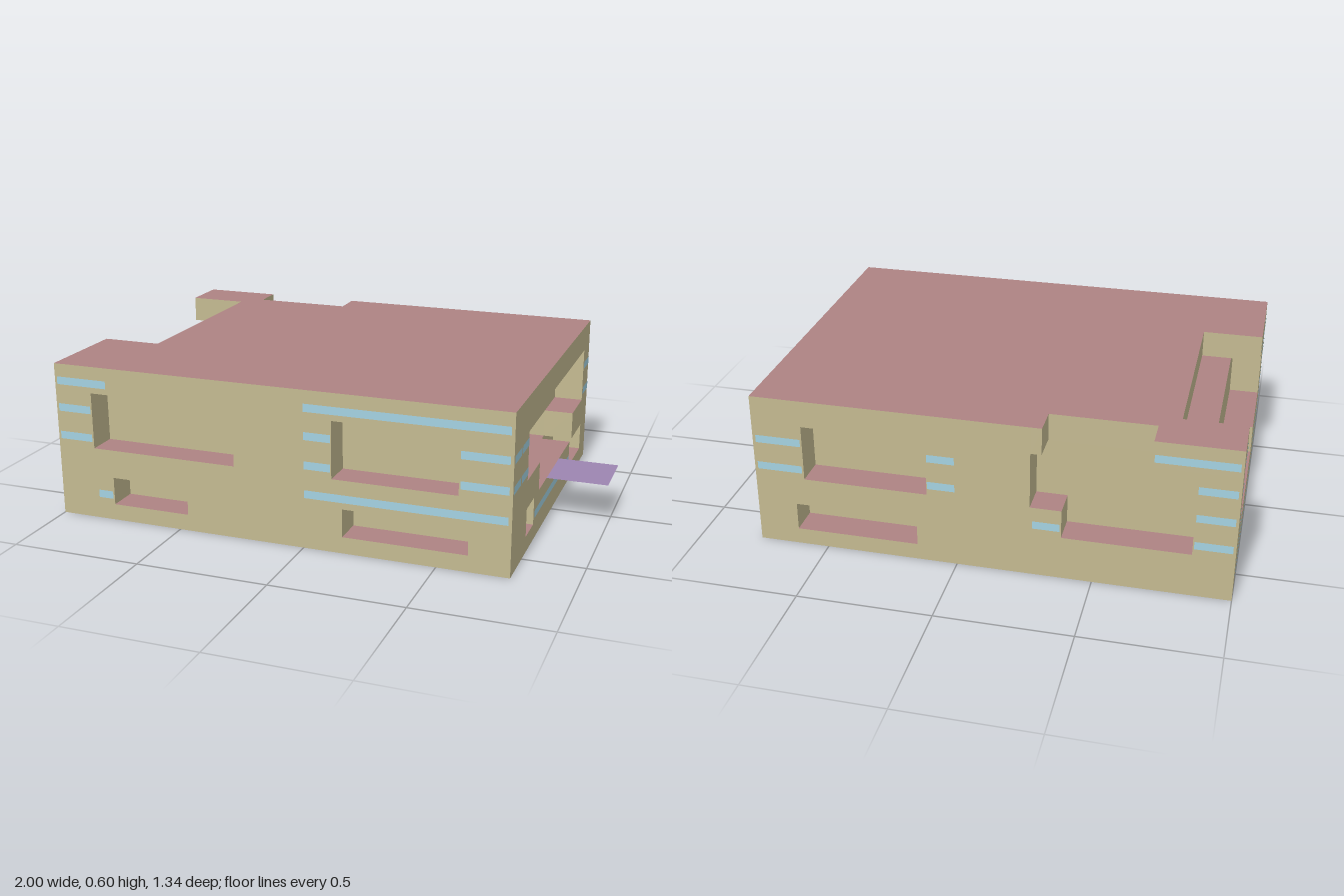
import * as THREE from 'three';

const LO = [-1, 0, -0.67], HI = [0.767, 0.6, 0.67];
const D = 0.115, DEEP = 0.23; // recess depths

// Recesses per side: [from, to, bottom, top, depth], measured along x (front, back) or z (left, right)
const RECESSES = {
  front: [
    [-0.85, -0.27, 0.28, 0.497, D], [0.11, 0.577, 0.28, 0.497, D],
    [-0.775, -0.465, 0.063, 0.17, D], [0.15, 0.615, 0.063, 0.17, D],
  ],
  back: [
    [-0.85, -0.27, 0.28, 0.497, D], [-0.85, -0.385, 0.17, 0.28, D],
    [-0.695, -0.31, 0.497, 0.6, D],
    [0.11, 0.577, 0.28, 0.497, D], [0.15, 0.615, 0.063, 0.17, D],
  ],
  left: [
    [-0.56, 0.45, 0.28, 0.497, D], [-0.365, 0.25, 0.17, 0.28, DEEP],
    [0.325, 0.445, 0.063, 0.17, D], [-0.56, -0.325, 0.063, 0.17, D],
  ],
  right: [
    [-0.56, 0.45, 0.28, 0.497, D], [-0.44, 0.13, 0.17, 0.28, D],
    [-0.485, 0.29, 0.497, 0.6, DEEP],
  ],
};

// Stripes per side: [from, to, centre height]
const STRIPES = {
  front: [
    [0.005, 0.755, 0.535], [0.005, 0.755, 0.21], [-0.99, -0.785, 0.535], [-0.84, -0.78, 0.1],
    ...[0.43, 0.32].flatMap(y => [[0.005, 0.107, y], [0.583, 0.755, y], [-0.99, -0.855, y]]),
  ],
  back: [
    [-0.99, -0.7, 0.535], [-0.99, -0.855, 0.21], [-0.38, -0.28, 0.21],
    ...[0.43, 0.32].flatMap(y => [[0.005, 0.107, y], [0.583, 0.755, y], [-0.99, -0.855, y]]),
  ],
  left: [
    [-0.315, 0.315, 0.1],
    ...[0.43, 0.32].flatMap(y => [[0.565, 0.665, y], [0.455, 0.553, y], [-0.665, -0.563, y]]),
  ],
  right: [
    [-0.665, 0.665, 0.1], [-0.665, -0.445, 0.21], [0.135, 0.665, 0.21],
    [-0.665, -0.49, 0.535], [0.295, 0.665, 0.535],
    ...[0.43, 0.32].flatMap(y => [[-0.665, -0.565, y], [0.455, 0.665, y]]),
  ],
};

// Turns a recess into a box to carve: [min corner, max corner]
function recessBox(side, [a, b, y0, y1, d]) {
  if (side === 'front') return [[a, y0, HI[2] - d], [b, y1, HI[2]]];
  if (side === 'back') return [[a, y0, LO[2]], [b, y1, LO[2] + d]];
  if (side === 'left') return [[HI[0] - d, y0, a], [HI[0], y1, b]];
  return [[LO[0], y0, a], [LO[0] + d, y1, b]];
}

// Carves the recesses from the block and returns its skin, sorted by facing
function carveBlock() {
  const cuts = Object.entries(RECESSES).flatMap(([side, list]) => list.map(r => recessBox(side, r)));
  const lines = [0, 1, 2].map(k => {
    const all = [LO[k], HI[k], ...cuts.flatMap(c => [c[0][k], c[1][k]])].map(n => Math.round(n * 1e4) / 1e4);
    return [...new Set(all)].sort((p, q) => p - q);
  });
  const solid = cell => {
    if (cell.some((i, k) => i < 0 || i >= lines[k].length - 1)) return false;
    const mid = cell.map((i, k) => (lines[k][i] + lines[k][i + 1]) / 2);
    return !cuts.some(([lo, hi]) => mid.every((m, k) => m > lo[k] && m < hi[k]));
  };
  const skin = { walls: [], decks: [], soffits: [] };
  for (let i = 0; i < lines[0].length - 1; i++)
    for (let j = 0; j < lines[1].length - 1; j++)
      for (let k = 0; k < lines[2].length - 1; k++) {
        const cell = [i, j, k];
        if (!solid(cell)) continue;
        for (let axis = 0; axis < 3; axis++)
          for (const dir of [-1, 1]) {
            const next = [...cell];
            next[axis] += dir;
            if (solid(next)) continue;
            const u = (axis + 1) % 3, v = (axis + 2) % 3;
            const corner = (du, dv) => {
              const at = [...cell];
              if (dir > 0) at[axis]++;
              at[u] += du;
              at[v] += dv;
              return at.map((n, m) => lines[m][n]);
            };
            const quad = [corner(0, 0), corner(1, 0), corner(1, 1), corner(0, 1)];
            if (dir < 0) quad.reverse();
            const target = axis !== 1 ? skin.walls : dir > 0 ? skin.decks : skin.soffits;
            for (const n of [0, 1, 2, 0, 2, 3]) target.push(...quad[n]);
          }
      }
  return skin;
}

export function createModel() {
  const model = new THREE.Group();
  model.name = 'building';
  const paint = color => new THREE.MeshStandardMaterial({ color });
  const colors = { walls: 0xc4ba91, decks: 0xae8383, soffits: 0xcccccc };

  // Carved block: upright walls, upward decks, downward soffits
  for (const [name, points] of Object.entries(carveBlock())) {
    const geometry = new THREE.BufferGeometry();
    geometry.setAttribute('position', new THREE.Float32BufferAttribute(points, 3));
    geometry.computeVertexNormals();
    const mesh = new THREE.Mesh(geometry, paint(colors[name]));
    mesh.name = name;
    model.add(mesh);
  }

  // Flat stripes just proud of each wall
  const blue = paint(0xa4d2e2), lift = 0.002;
  const turn = { front: 0, left: Math.PI / 2, back: Math.PI, right: -Math.PI / 2 };
  for (const [side, list] of Object.entries(STRIPES)) {
    const group = new THREE.Group();
    group.name = side + 'Stripes';
    for (const [a, b, y] of list) {
      const stripe = new THREE.Mesh(new THREE.PlaneGeometry(b - a, 0.03), blue);
      const mid = (a + b) / 2;
      stripe.name = 'stripe';
      stripe.rotation.y = turn[side];
      if (side === 'front') stripe.position.set(mid, y, HI[2] + lift);
      else if (side === 'back') stripe.position.set(mid, y, LO[2] - lift);
      else if (side === 'left') stripe.position.set(HI[0] + lift, y, mid);
      else stripe.position.set(LO[0] - lift, y, mid);
      group.add(stripe);
    }
    model.add(group);
  }

  // Thin ledge standing out from the left wall
  const purple = paint(0x9d85b1);
  purple.side = THREE.DoubleSide;
  const ledge = new THREE.Mesh(new THREE.PlaneGeometry(1 - HI[0], 0.23), purple);
  ledge.name = 'ledge';
  ledge.rotation.x = -Math.PI / 2;
  ledge.position.set((1 + HI[0]) / 2, 0.17, 0);
  model.add(ledge);

  return model;
}
